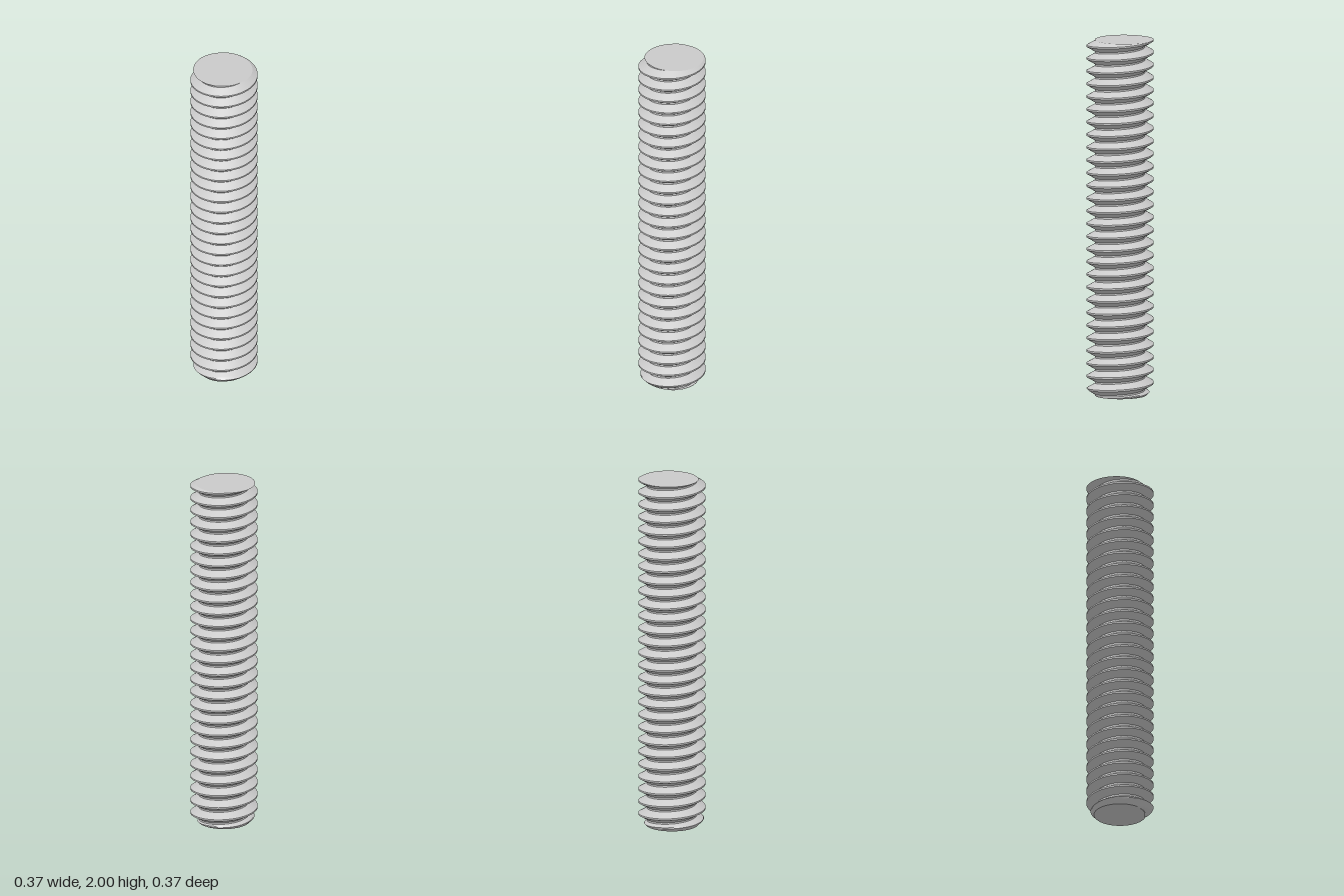
import * as THREE from 'three';
import { toCreasedNormals } from 'three/addons/utils/BufferGeometryUtils.js';

const HEIGHT = 2, TURNS = 28, PITCH = HEIGHT / TURNS;
const CREST = 0.187, ROOT = 0.14;      // outer and inner radius of the thread
const FLAT = 0.0625;                   // half width of crest and root flats, in pitches
const SIDES = 96;

// Position along the thread, in pitches: whole numbers are crests
const helix = (a) => (a - Math.PI / 2) / (2 * Math.PI);

// Radius of the threaded surface, with a chamfer at the foot
function radiusAt(a, y) {
  const phase = y / PITCH - helix(a);
  const d = Math.abs(phase - Math.round(phase));
  const t = THREE.MathUtils.clamp((d - FLAT) / (0.5 - 2 * FLAT), 0, 1);
  return Math.min(CREST + (ROOT - CREST) * t, 0.145 + y);
}

function pointAt(a, y) {
  const r = radiusAt(a, y);
  return new THREE.Vector3(r * Math.cos(a), y, -r * Math.sin(a));
}

function buildGeometry(triangles) {
  const coords = [];
  for (const [a, b, c] of triangles) {
    const area = b.clone().sub(a).cross(c.clone().sub(a)).length();
    if (area > 1e-9) for (const p of [a, b, c]) coords.push(p.x, p.y, p.z);
  }
  const geometry = new THREE.BufferGeometry();
  geometry.setAttribute('position', new THREE.Float32BufferAttribute(coords, 3));
  return geometry;
}

// Helical rows following the thread edges, trimmed at both ends
function threadGeometry() {
  const steps = [-FLAT, FLAT];
  for (let s = 1; s <= 4; s++) steps.push(FLAT + (0.5 - 2 * FLAT) * s / 4);
  for (let s = 0; s < 4; s++) steps.push(0.5 + FLAT + (0.5 - 2 * FLAT) * s / 4);
  const rows = [];
  for (let k = -2; k <= TURNS + 1; k++) for (const s of steps) rows.push(k + s);

  const columns = [];
  for (let i = 0; i <= SIDES; i++) {
    const a = i / SIDES * Math.PI * 2;
    columns.push(rows.map((row) =>
      pointAt(a, THREE.MathUtils.clamp((row + helix(a)) * PITCH, 0, HEIGHT))));
  }
  const triangles = [];
  for (let i = 0; i < SIDES; i++) {
    for (let j = 0; j < rows.length - 1; j++) {
      const a = columns[i][j], b = columns[i + 1][j];
      const c = columns[i + 1][j + 1], d = columns[i][j + 1];
      triangles.push([a, b, c], [a, c, d]);
    }
  }
  return toCreasedNormals(buildGeometry(triangles), Math.PI / 6);
}

// Flat end face following the cut through the thread
function capGeometry(y, up) {
  const triangles = [];
  const centre = new THREE.Vector3(0, y, 0);
  for (let i = 0; i < SIDES; i++) {
    const p = pointAt(i / SIDES * Math.PI * 2, y);
    const q = pointAt((i + 1) / SIDES * Math.PI * 2, y);
    triangles.push(up ? [centre, p, q] : [centre, q, p]);
  }
  const geometry = buildGeometry(triangles);
  geometry.computeVertexNormals();
  return geometry;
}

export function createModel() {
  const group = new THREE.Group();
  group.name = 'threadedRod';
  const steel = new THREE.MeshStandardMaterial({ color: 0xcacaca });
  steel.name = 'steel grey';
  const add = (name, geometry) => {
    const mesh = new THREE.Mesh(geometry, steel);
    mesh.name = name;
    group.add(mesh);
  };
  add('thread', threadGeometry());
  add('topFace', capGeometry(HEIGHT, true));
  add('bottomFace', capGeometry(0, false));
  return group;
}
